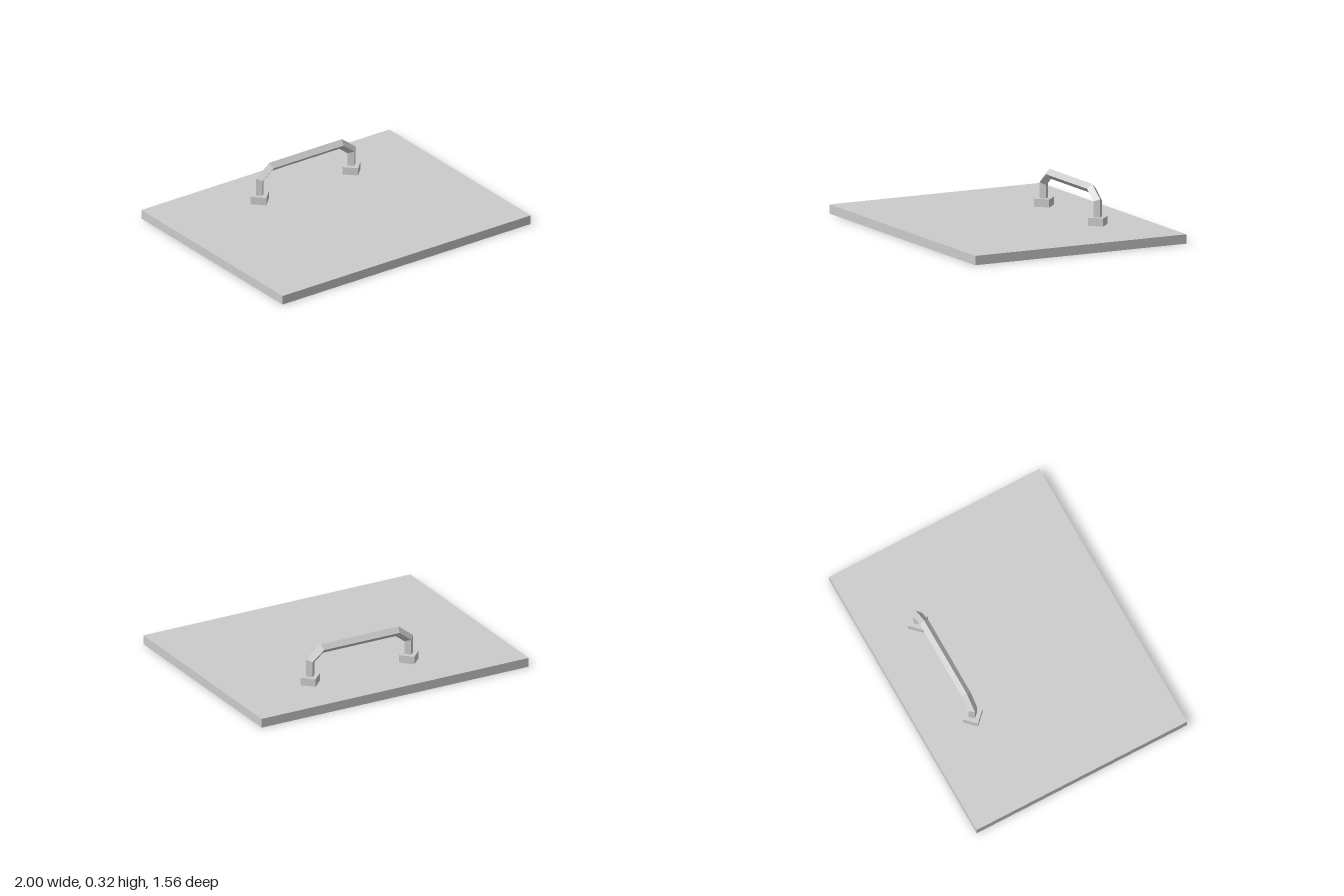
import * as THREE from 'three';

const SLAB = { w: 2, h: 0.062, d: 1.56 };
const HANDLE_X = 0.068, HANDLE_Z = -0.428, HALF_SPAN = 0.37;

// Mitred sweep of a diamond section along a path in the xy plane
function diamondRod(points, r) {
  const dirs = points.slice(1).map((p, i) => p.clone().sub(points[i]).normalize());
  const positions = [], index = [];
  points.forEach((p, i) => {
    const a = dirs[Math.max(i - 1, 0)], b = dirs[Math.min(i, dirs.length - 1)];
    const t = a.clone().add(b).normalize();
    const m = r / t.dot(b);
    const nx = -t.y * m, ny = t.x * m;
    positions.push(p.x + nx, p.y + ny, 0, p.x, p.y, r, p.x - nx, p.y - ny, 0, p.x, p.y, -r);
  });
  for (let i = 0; i < dirs.length; i++) {
    for (let k = 0; k < 4; k++) {
      const a = i * 4 + k, b = i * 4 + (k + 1) % 4;
      index.push(a, b, b + 4, a, b + 4, a + 4);
    }
  }
  const geometry = new THREE.BufferGeometry();
  geometry.setAttribute('position', new THREE.Float32BufferAttribute(positions, 3));
  geometry.setIndex(index);
  geometry.computeVertexNormals();
  return geometry;
}

export function createModel() {
  const group = new THREE.Group();
  const material = new THREE.MeshStandardMaterial({ color: 0xcccccc, flatShading: true });
  const add = (parent, name, geometry, x, y, z) => {
    const mesh = new THREE.Mesh(geometry, material);
    mesh.name = name;
    mesh.position.set(x, y, z);
    parent.add(mesh);
  };

  // Flat panel
  add(group, 'panel', new THREE.BoxGeometry(SLAB.w, SLAB.h, SLAB.d), 0, SLAB.h / 2, 0);

  // Handle: bent bar on two diamond feet
  const handle = new THREE.Group();
  handle.name = 'handle';
  handle.position.set(HANDLE_X, SLAB.h, HANDLE_Z);
  group.add(handle);

  const half = [[-HALF_SPAN, 0.03], [-HALF_SPAN, 0.158], [-0.282, 0.226]];
  const path = [...half, ...half.map(([x, y]) => [-x, y]).reverse()]
    .map(([x, y]) => new THREE.Vector2(x, y));
  add(handle, 'handleBar', diamondRod(path, 0.032), 0, 0, 0);

  for (const side of [-1, 1]) {
    add(handle, side < 0 ? 'rightFoot' : 'leftFoot',
      new THREE.CylinderGeometry(0.073, 0.073, 0.053, 4), side * HALF_SPAN, 0.0265, 0);
  }
  return group;
}
